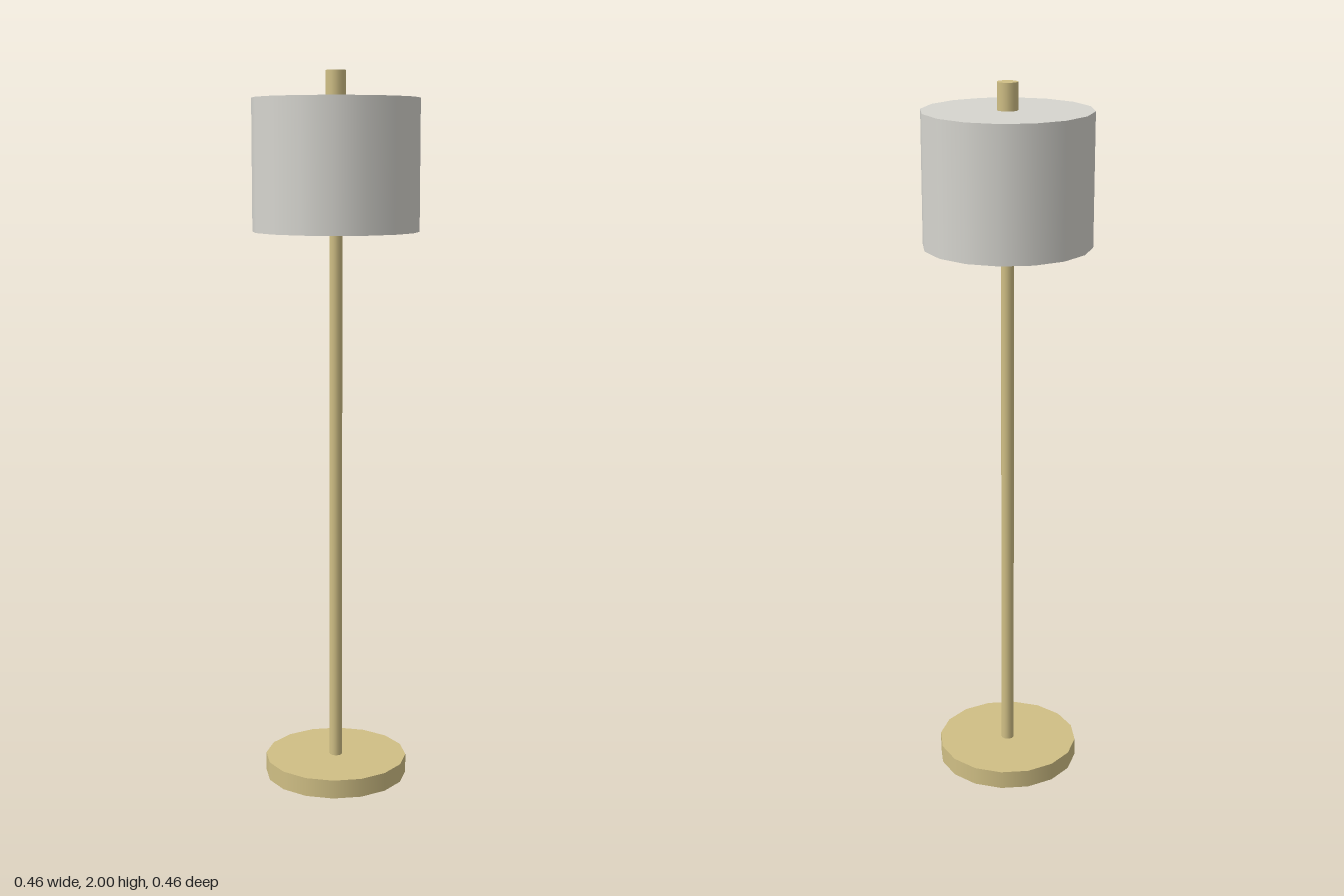
import * as THREE from 'three';

const SIDES = 16;

export function createModel() {
  const model = new THREE.Group();
  const brass = new THREE.MeshStandardMaterial({ color: 0xd0bf85 });
  const fabric = new THREE.MeshStandardMaterial({ color: 0xd6d5cf });

  // Upright capped cylinder between two heights
  function column(name, radius, bottom, top, material) {
    const geometry = new THREE.CylinderGeometry(radius, radius, top - bottom, SIDES);
    const mesh = new THREE.Mesh(geometry, material);
    mesh.name = name;
    mesh.position.y = (bottom + top) / 2;
    model.add(mesh);
  }

  column('base', 0.203, 0, 0.053, brass);
  column('pole', 0.018, 0.053, 1.6, brass);
  column('shade', 0.23, 1.567, 1.927, fabric);
  column('finial', 0.028, 1.9, 2, brass);

  return model;
}
